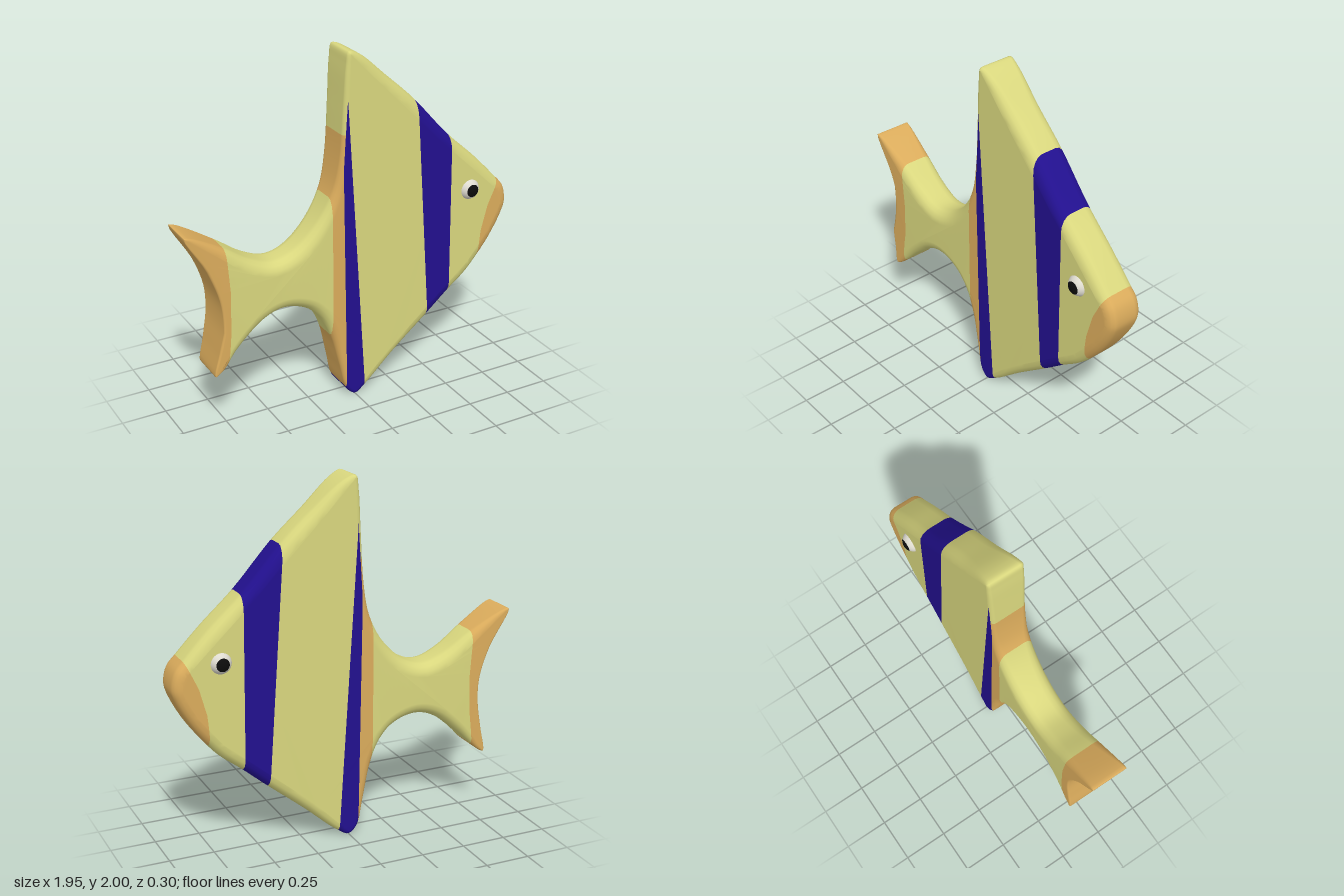
import * as THREE from 'three';

const HALF = 0.105, MID_Z = -0.005;

// Outline, clockwise from the top fin tip: x, y, edge rounding
const OUTLINE = [
  [-0.04, 2, 0.02], [0.03, 1.975, 0.035], [0.2, 1.83, 0.06], [0.37, 1.675, 0.06], [0.585, 1.44, 0.06],
  [0.77, 1.27, 0.06], [0.9, 1.135, 0.055], [0.955, 1.07, 0.05], [0.975, 0.98, 0.05], [0.955, 0.91, 0.05],
  [0.88, 0.77, 0.055], [0.79, 0.65, 0.06], [0.72, 0.575, 0.06], [0.6, 0.48, 0.06], [0.465, 0.365, 0.06],
  [0.25, 0.19, 0.055], [0.06, 0.03, 0.035], [0, 0.003, 0.02], [-0.05, 0.045, 0.02], [-0.09, 0.2, 0.03],
  [-0.14, 0.4, 0.045], [-0.2, 0.52, 0.06], [-0.28, 0.595, 0.07], [-0.41, 0.635, 0.07], [-0.53, 0.605, 0.065],
  [-0.68, 0.49, 0.05], [-0.81, 0.365, 0.015], [-0.84, 0.355, 0.008], [-0.82, 0.5, 0.012], [-0.797, 0.66, 0.012],
  [-0.803, 0.8, 0.012], [-0.86, 0.97, 0.012], [-0.975, 1.18, 0.006], [-0.95, 1.18, 0.012], [-0.75, 1.07, 0.05],
  [-0.6, 0.97, 0.065], [-0.47, 0.925, 0.07], [-0.35, 0.96, 0.07], [-0.22, 1.08, 0.06], [-0.13, 1.24, 0.045],
  [-0.09, 1.42, 0.03], [-0.07, 1.7, 0.025], [-0.055, 1.93, 0.02],
];

// Coloured zones: convex, counter-clockwise areas cut through the whole thickness
const ZONES = [
  { name: 'tailFinEdge', color: 0xdbac5c, area: [[-1.1, 1.3], [-1.1, 0.2], [-0.79, 0.2], [-0.765, 0.4], [-0.742, 0.6], [-0.735, 0.82], [-0.755, 1.1], [-0.78, 1.3]] },
  { name: 'snout', color: 0xdbac5c, area: [[0.788, 0.6], [1.1, 0.6], [1.1, 1.2], [0.93, 1.17], [0.9, 1.11], [0.84, 0.98], [0.8, 0.83], [0.788, 0.7]] },
  { name: 'rearStripe', color: 0x22108f, area: [[-0.05, 1.75], [-0.075, 1.35], [-0.055, 0.04], [-0.045, -0.02], [0.062, -0.02]] },
  { name: 'frontStripe', color: 0x22108f, area: [[0.365, 1.75], [0.467, 0.3], [0.602, 0.3], [0.585, 1.75]] },
  { name: 'finTrailingEdge', color: 0xdbac5c, area: [[-0.14, 1.56], [-0.14, -0.02], [-0.03, -0.02], [-0.05, 1.56]] },
];

// Flat slab with rounded edges, as one smooth closed surface
function slabGeometry() {
  const curve = new THREE.CatmullRomCurve3(OUTLINE.map(p => new THREE.Vector3(...p)).reverse(), true);
  const loop = curve.getPoints(OUTLINE.length * 5).slice(0, -1);
  const n = loop.length, steps = 4, rings = [];
  for (let s = -steps; s <= steps; s++) {
    if (s === 0) rings.push([-1, 0], [1, 0]);
    else rings.push([Math.sign(s), Math.abs(s) / steps * Math.PI / 2]);
  }
  const pos = [], index = [];
  for (const [side, a] of rings) {
    loop.forEach((p, i) => {
      const t = loop[(i + 1) % n].clone().sub(loop[(i + n - 1) % n]).setZ(0).normalize();
      const inset = p.z * (1 - Math.cos(a));
      pos.push(p.x - t.y * inset, p.y + t.x * inset, side * (HALF - p.z * (1 - Math.sin(a))));
    });
  }
  for (let j = 0; j < rings.length - 1; j++) {
    for (let i = 0; i < n; i++) {
      const a = j * n + i, b = j * n + (i + 1) % n;
      index.push(a, b, b + n, a, b + n, a + n);
    }
  }
  // Flat cheeks
  const last = (rings.length - 1) * n;
  const rim = loop.map((_, i) => new THREE.Vector2(pos[(last + i) * 3], pos[(last + i) * 3 + 1]));
  for (const [a, b, c] of THREE.ShapeUtils.triangulateShape(rim, [])) {
    index.push(last + a, last + b, last + c, a, c, b);
  }
  const g = new THREE.BufferGeometry();
  g.setAttribute('position', new THREE.Float32BufferAttribute(pos, 3));
  g.setIndex(index);
  g.computeVertexNormals();
  return g;
}

// Split a polygon by the line a-b into its left and right pieces
function split(poly, a, b) {
  const dist = v => (b[0] - a[0]) * (v[1] - a[1]) - (b[1] - a[1]) * (v[0] - a[0]);
  const inside = [], outside = [];
  poly.forEach((v, i) => {
    const w = poly[(i + 1) % poly.length], dv = dist(v), dw = dist(w);
    (dv >= 0 ? inside : outside).push(v);
    if ((dv >= 0) !== (dw >= 0)) {
      const cut = v.map((c, k) => c + (w[k] - c) * dv / (dv - dw));
      inside.push(cut);
      outside.push(cut);
    }
  });
  return [inside, outside];
}

// The notch of the tail swells out a little on the front side
function tailSwell(x, y, z) {
  const along = THREE.MathUtils.clamp((-0.74 - x) / 0.05, 0, 1);
  const up = Math.max(0, 1 - Math.abs(y - 0.63) / 0.28);
  return z > 0 ? 0.048 * along * up : 0;
}

function patchMesh(name, color, polys) {
  const pos = [], nor = [];
  for (const poly of polys) {
    for (let i = 1; i < poly.length - 1; i++) {
      for (const [x, y, z, ...normal] of [poly[0], poly[i], poly[i + 1]]) {
        pos.push(x, y, z + MID_Z + tailSwell(x, y, z));
        nor.push(...normal);
      }
    }
  }
  const g = new THREE.BufferGeometry();
  g.setAttribute('position', new THREE.Float32BufferAttribute(pos, 3));
  g.setAttribute('normal', new THREE.Float32BufferAttribute(nor, 3));
  g.normalizeNormals();
  const mesh = new THREE.Mesh(g, new THREE.MeshStandardMaterial({ color }));
  mesh.name = name;
  return mesh;
}

function makeEye(side) {
  const eye = new THREE.Group();
  eye.name = side > 0 ? 'frontEye' : 'backEye';
  const ball = new THREE.Mesh(new THREE.SphereGeometry(0.062, 32, 20), new THREE.MeshStandardMaterial({ color: 0xdedbd0 }));
  ball.name = 'eyeball';
  const pupil = new THREE.Mesh(
    new THREE.SphereGeometry(0.0635, 32, 8, 0, Math.PI * 2, 0, 0.6),
    new THREE.MeshStandardMaterial({ color: 0x0c0c0c }));
  pupil.name = 'pupil';
  pupil.rotation.x = side * Math.PI / 2;
  eye.add(ball, pupil);
  eye.position.set(0.717, 1.1, MID_Z + side * 0.08);
  return eye;
}

export function createModel() {
  const fish = new THREE.Group();
  fish.name = 'fish';

  // Cut the slab into its coloured patches
  const slab = slabGeometry().toNonIndexed();
  const P = slab.attributes.position.array, N = slab.attributes.normal.array;
  let rest = [];
  for (let t = 0; t < P.length; t += 9) {
    rest.push([0, 3, 6].map(k => [...P.slice(t + k, t + k + 3), ...N.slice(t + k, t + k + 3)]));
  }
  for (const { name, color, area } of ZONES) {
    const kept = [], left = [];
    for (let poly of rest) {
      const offcuts = [], whole = poly;
      area.forEach((a, i) => {
        const [inside, outside] = split(poly, a, area[(i + 1) % area.length]);
        if (outside.length > 2) offcuts.push(outside);
        poly = inside;
      });
      if (poly.length > 2) {
        kept.push(poly);
        left.push(...offcuts);
      } else left.push(whole);
    }
    fish.add(patchMesh(name, color, kept));
    rest = left;
  }
  fish.add(patchMesh('body', 0xd9d77e, rest));

  for (const side of [1, -1]) fish.add(makeEye(side));
  return fish;
}
